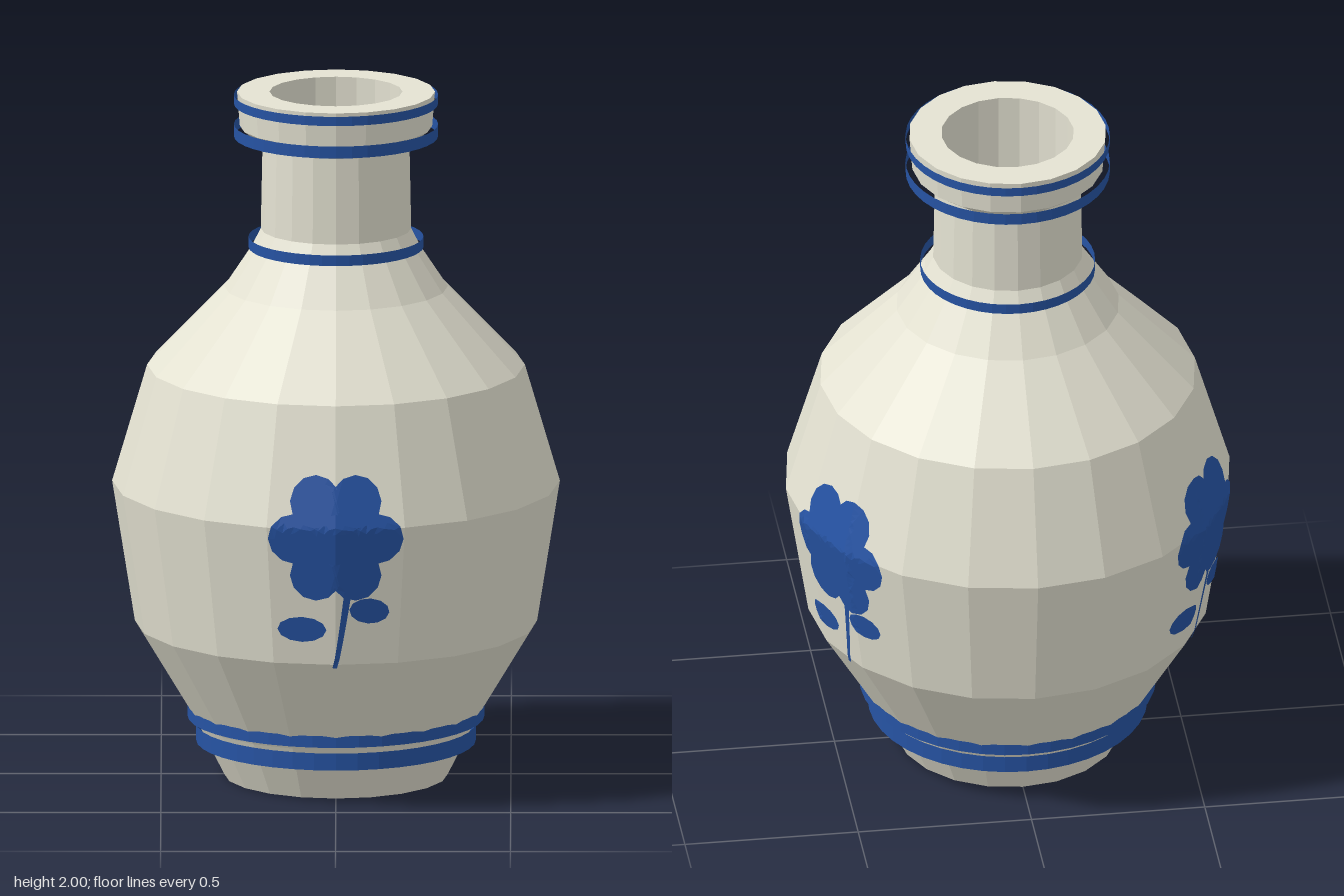
import * as THREE from 'three';

const SIDES = 20;
const STEP = (2 * Math.PI) / SIDES;

// Outer wall of the vase: [radius, height]
const OUTER = [
  [0.32, 0], [0.4, 0.16], [0.575, 0.45], [0.64, 0.86], [0.54, 1.2],
  [0.32, 1.43], [0.24, 1.55], [0.215, 1.6], [0.21, 1.85], [0.275, 1.9], [0.283, 2],
];
const INNER = [[0.19, 2], [0.19, 1.6]];

const glaze = new THREE.MeshStandardMaterial({ color: 0xe4e2d2, flatShading: true, side: THREE.DoubleSide });
const blue = new THREE.MeshStandardMaterial({ color: 0x2653a3, flatShading: true, side: THREE.DoubleSide });
const dark = new THREE.MeshStandardMaterial({ color: 0x2e2f33, side: THREE.DoubleSide });

function addMesh(parent, name, geometry, material) {
  const mesh = new THREE.Mesh(geometry, material);
  mesh.name = name;
  parent.add(mesh);
  return mesh;
}

// Distance from the axis to the faceted wall at a height and angle
function wallRadius(y, angle) {
  let i = 1;
  while (i < OUTER.length - 1 && OUTER[i][1] < y) i++;
  const [r0, y0] = OUTER[i - 1];
  const [r1, y1] = OUTER[i];
  const r = r0 + ((r1 - r0) * (y - y0)) / (y1 - y0);
  const offset = angle - Math.floor(angle / STEP) * STEP - STEP / 2;
  return (r * Math.cos(STEP / 2)) / Math.cos(offset);
}

// Lay a flat decoration drawn in x and y onto the wall
function wrap(geometry, angle) {
  const p = geometry.attributes.position;
  for (let i = 0; i < p.count; i++) {
    const y = p.getY(i);
    const a = angle + p.getX(i) / 0.62;
    const r = wallRadius(y, a) + 0.006;
    p.setXYZ(i, r * Math.sin(a), y, r * Math.cos(a));
  }
  geometry.computeVertexNormals();
  return geometry;
}

function oval(x, y, rx, ry, tilt = 0) {
  return new THREE.RingGeometry(0, 1, 12, 4).scale(rx, ry, 1).rotateZ(tilt).translate(x, y, 0);
}

// Thin curved stem, tapering to its foot
function stemShape() {
  const g = new THREE.PlaneGeometry(1, 1, 1, 8);
  const p = g.attributes.position;
  for (let i = 0; i < p.count; i++) {
    const t = p.getY(i) + 0.5;
    const width = 0.014 + 0.008 * t;
    p.setXYZ(i, p.getX(i) * width + 0.04 * Math.pow(t, 0.8) - 0.003, 0.44 + 0.24 * t, 0);
  }
  return g;
}

function makeFlower(angle) {
  const flower = new THREE.Group();
  flower.name = 'flower';
  for (let k = 0; k < 6; k++) {
    const a = (k * Math.PI) / 3;
    addMesh(flower, 'petal', wrap(oval(0.117 * Math.cos(a), 0.828 + 0.126 * Math.sin(a), 0.074, 0.074), angle), blue);
  }
  addMesh(flower, 'flowerCentre', wrap(oval(0, 0.828, 0.075, 0.075), angle), blue);
  addMesh(flower, 'stem', wrap(stemShape(), angle), blue);
  addMesh(flower, 'largeLeaf', wrap(oval(-0.102, 0.556, 0.074, 0.038), angle), blue);
  addMesh(flower, 'smallLeaf', wrap(oval(0.1, 0.612, 0.06, 0.038, -0.1), angle), blue);
  return flower;
}

export function createModel() {
  const vase = new THREE.Group();
  vase.name = 'vase';

  // Body, neck, rim and inner neck wall in one turned shell, open below
  const profile = [...OUTER, ...INNER].map(([r, y]) => new THREE.Vector2(r, y));
  addMesh(vase, 'body', new THREE.LatheGeometry(profile, SIDES), glaze);

  // Dark floor inside the neck
  const floor = addMesh(vase, 'neckFloor', new THREE.CircleGeometry(0.2, SIDES), dark);
  floor.rotation.x = -Math.PI / 2;
  floor.position.y = 1.61;

  // Painted bands: radius, bottom, top
  const bands = [
    [0.4, 0.1, 0.15], [0.425, 0.172, 0.206], [0.25, 1.545, 1.576],
    [0.292, 1.87, 1.905], [0.292, 1.965, 1.992],
  ];
  for (const [r, y0, y1] of bands) {
    const band = addMesh(vase, 'band', new THREE.CylinderGeometry(r, r, y1 - y0, 40, 1, true), blue);
    band.position.y = (y0 + y1) / 2;
  }

  // Three flowers evenly spaced around the belly
  for (let k = 0; k < 3; k++) vase.add(makeFlower((k * 2 * Math.PI) / 3));

  return vase;
}
